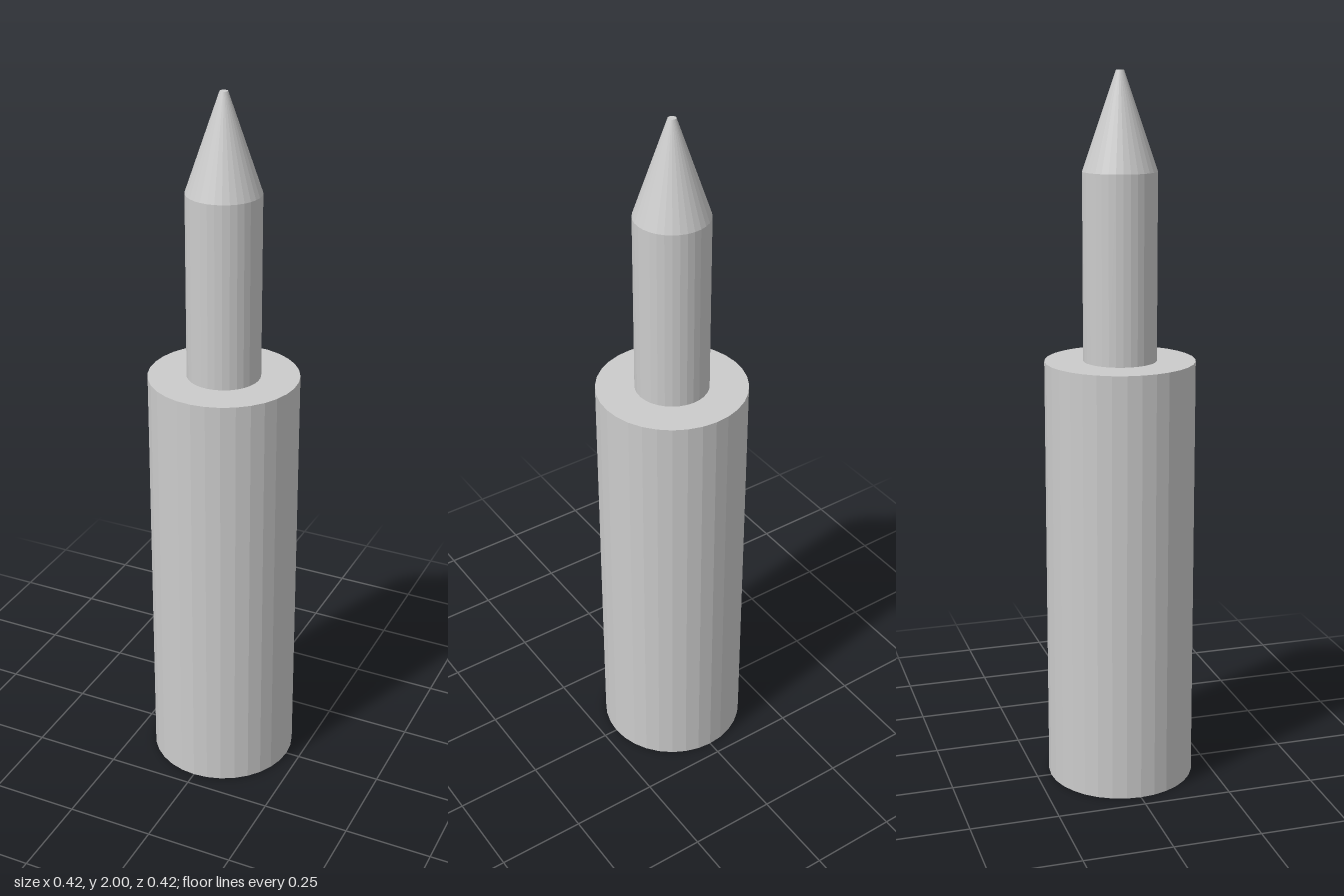
import * as THREE from 'three';

const SIDES = 32;

export function createModel() {
  const group = new THREE.Group();
  const material = new THREE.MeshStandardMaterial({ color: 0xcccccc, flatShading: true });

  // Upright round section from y0 to y1
  function section(name, bottomRadius, topRadius, y0, y1, open = false) {
    const geometry = new THREE.CylinderGeometry(topRadius, bottomRadius, y1 - y0, SIDES, 1, open);
    const mesh = new THREE.Mesh(geometry, material);
    mesh.name = name;
    mesh.position.y = (y0 + y1) / 2;
    group.add(mesh);
  }

  // Thick handle with closed ends
  section('body', 0.209, 0.209, 0, 1.22);
  // Narrow shaft standing on the body
  section('shaft', 0.102, 0.102, 1.22, 1.735, true);
  // Tapered point with a small flat end
  section('tip', 0.102, 0.011, 1.735, 2);

  return group;
}
